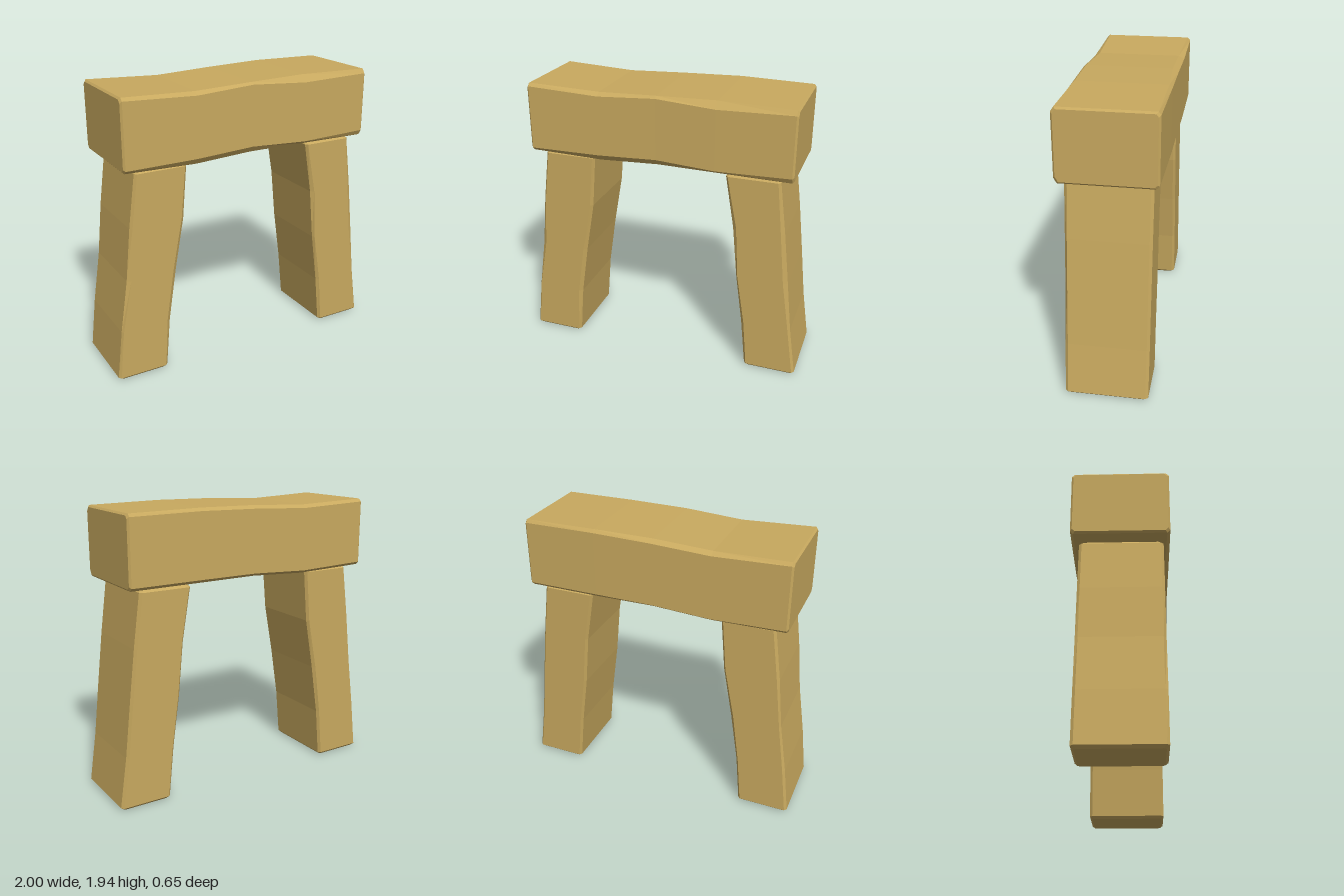
import * as THREE from 'three';

// Rough-hewn block: chamfered rectangles lofted along an axis, with bevelled ends.
// Row: [t, a0, a1, b0, b1, da0, db0, ... da3, db3]; the last eight are corner chamfers in
// the order (a0,b0), (a1,b0), (a1,b1), (a0,b1).
function hewnBlock(rows, toPoint, bevel) {
  const ring = ([t, a0, a1, b0, b1, ...c]) => [
    [a0 + c[0], b0], [a1 - c[2], b0], [a1, b0 + c[3]], [a1, b1 - c[5]],
    [a1 - c[4], b1], [a0 + c[6], b1], [a0, b1 - c[7]], [a0, b0 + c[1]],
  ].map(([a, b]) => [a, b, t]);
  const inset = (row, dt) => {
    const [t, a0, a1, b0, b1] = row, pts = ring(row);
    const ca = (a0 + a1) / 2, cb = (b0 + b1) / 2;
    const sa = 1 - (2 * bevel) / (a1 - a0), sb = 1 - (2 * bevel) / (b1 - b0);
    return pts.map(([a, b]) => [ca + (a - ca) * sa, cb + (b - cb) * sb, t + dt]);
  };
  const last = rows[rows.length - 1];
  const rings = [inset(rows[0], -bevel), ...rows.map(ring), inset(last, bevel)];
  const pos = [];
  const tri = (...pts) => pts.forEach((p) => pos.push(...toPoint(...p)));
  for (let k = 0; k < rings.length - 1; k++) {
    for (let i = 0; i < 8; i++) {
      const j = (i + 1) % 8, lo = rings[k], hi = rings[k + 1];
      tri(lo[i], lo[j], hi[j]);
      tri(lo[i], hi[j], hi[i]);
    }
  }
  const start = rings[0], end = rings[rings.length - 1];
  for (let i = 1; i < 7; i++) {
    tri(start[0], start[i + 1], start[i]);
    tri(end[0], end[i], end[i + 1]);
  }
  const geo = new THREE.BufferGeometry();
  geo.setAttribute('position', new THREE.Float32BufferAttribute(pos, 3));
  geo.computeVertexNormals();
  return geo;
}

export function createModel() {
  const group = new THREE.Group();
  const stone = new THREE.MeshStandardMaterial({ color: 0xc8a95f });
  stone.name = 'sandstone';
  stone.flatShading = true;
  const add = (name, geo) => {
    const mesh = new THREE.Mesh(geo, stone);
    mesh.name = name;
    group.add(mesh);
  };

  // Lintel: sections in (y, z) along x
  add('lintel', hewnBlock([
    [-0.895, 1.46, 1.93, -0.33, 0.31, 0.02, 0.02, 0.02, 0.02, 0.02, 0.02, 0.02, 0.02],
    [-0.4, 1.445, 1.912, -0.33, 0.31, 0.02, 0.03, 0.02, 0.04, 0.022, 0.035, 0.04, 0.03],
    [0, 1.465, 1.93, -0.33, 0.31, 0.02, 0.03, 0.02, 0.04, 0.015, 0.02, 0.04, 0.03],
    [0.4, 1.465, 1.938, -0.33, 0.32, 0.02, 0.02, 0.02, 0.02, 0.048, 0.04, 0.02, 0.03],
    [0.895, 1.46, 1.93, -0.32, 0.31, 0.02, 0.02, 0.02, 0.015, 0.03, 0.02, 0.035, 0.02],
  ], (y, z, x) => [x, y, z], 0.012));

  // Legs: sections in (z, x) along y; rows hold [y, x0, x1, then x chamfers at
  // back-x0, front-x0, front-x1, back-x1]
  const leg = (name, rows) => add(name, hewnBlock(
    rows.map(([y, x0, x1, p, q, r, s]) =>
      [y, -0.278, 0.268, x0, x1, 0.018, p, 0.018, q, 0.018, r, 0.018, s]),
    (z, x, y) => [x, y, z], 0.018));

  leg('rightLeg', [
    [0.018, -1, -0.64, 0.015, 0.015, 0.015, 0.015],
    [0.36, -0.96, -0.61, 0.015, 0.01, 0.025, 0.015],
    [0.72, -0.905, -0.555, 0.01, 0.025, 0.025, 0.02],
    [1.08, -0.868, -0.49, 0.015, 0.015, 0.02, 0.015],
    [1.437, -0.82, -0.46, 0.015, 0.015, 0.015, 0.015],
  ]);
  leg('leftLeg', [
    [0.018, 0.64, 1, 0.015, 0.015, 0.015, 0.015],
    [0.36, 0.605, 0.95, 0.015, 0.02, 0.015, 0.015],
    [0.72, 0.555, 0.91, 0.015, 0.012, 0.03, 0.015],
    [1.08, 0.52, 0.868, 0.015, 0.025, 0.025, 0.015],
    [1.437, 0.46, 0.82, 0.015, 0.015, 0.015, 0.015],
  ]);
  return group;
}
